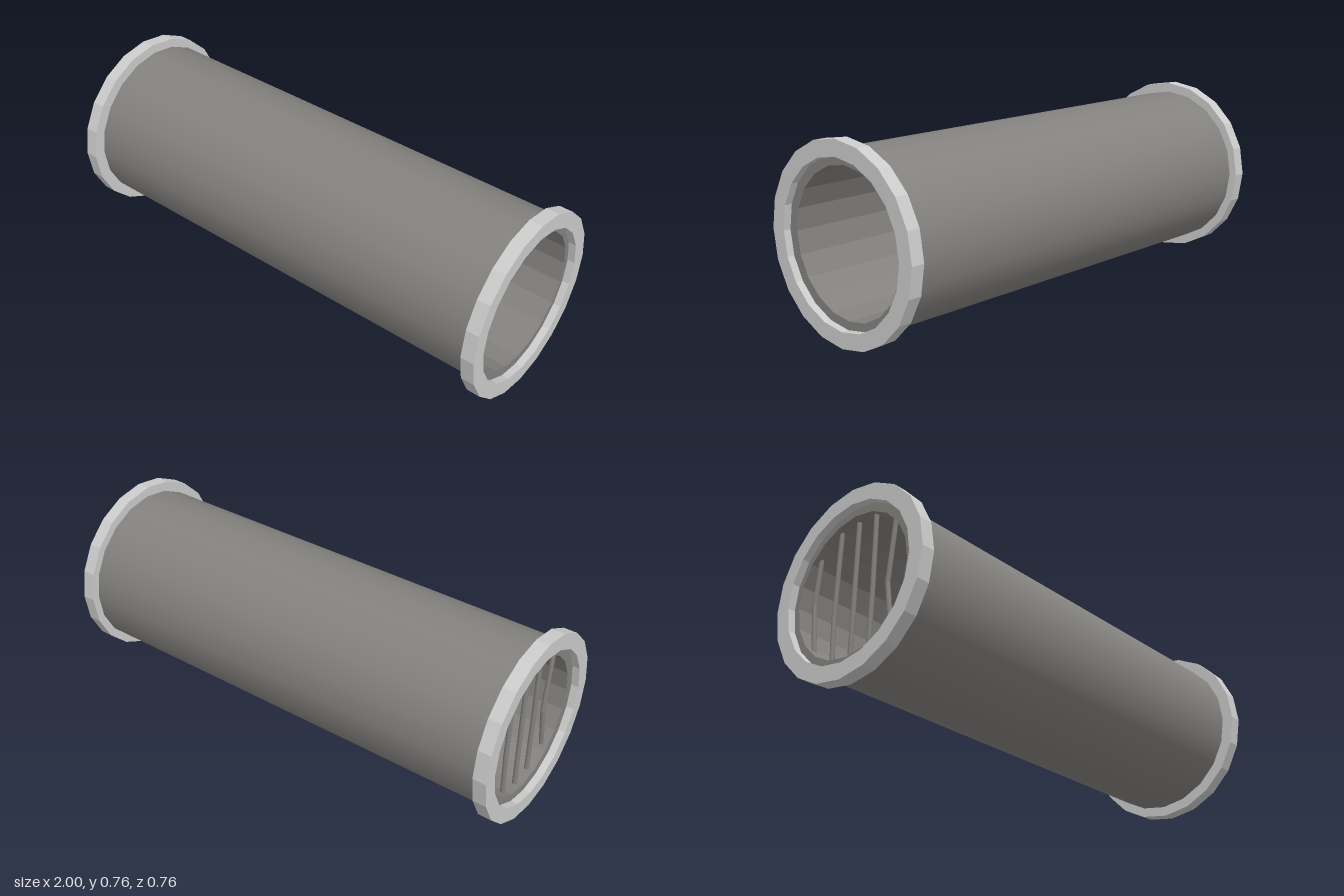
import * as THREE from 'three';

const SIDES = 20;
const CENTRE_Y = 0.382;

// Revolve a [radius, x] profile around the x axis
function ring(profile, material, name) {
  const points = profile.map(([r, x]) => new THREE.Vector2(r, x));
  const geometry = new THREE.LatheGeometry(points, SIDES);
  geometry.rotateZ(-Math.PI / 2);
  const mesh = new THREE.Mesh(geometry, material);
  mesh.name = name;
  return mesh;
}

// Round rod between two points
function rod(a, b, radius, material) {
  const dir = b.clone().sub(a);
  const mesh = new THREE.Mesh(new THREE.CylinderGeometry(radius, radius, dir.length(), 10), material);
  mesh.position.copy(a).add(b).multiplyScalar(0.5);
  mesh.quaternion.setFromUnitVectors(new THREE.Vector3(0, 1, 0), dir.normalize());
  mesh.name = 'barSegment';
  return mesh;
}

export function createModel() {
  const model = new THREE.Group();
  model.name = 'drainPipe';

  const flangeMat = new THREE.MeshStandardMaterial({ color: 0xcccccc, flatShading: true });
  const pipeMat = new THREE.MeshStandardMaterial({ color: 0x84827f });
  const boreMat = new THREE.MeshStandardMaterial({ color: 0x84827f, flatShading: true });

  // Pipe: smooth outside, faceted bore with end faces
  const pipe = new THREE.Group();
  pipe.name = 'pipe';
  pipe.position.set(0, 0.383, -0.008);
  const outer = 0.341, inner = 0.285, end = 0.97;
  pipe.add(ring([[outer, -end], [outer, end]], pipeMat, 'pipeOuterWall'));
  pipe.add(ring([[outer, end], [inner, end], [inner, -end], [outer, -end]], boreMat, 'pipeBore'));
  model.add(pipe);

  // Flange collar at each end
  for (const side of [-1, 1]) {
    const flange = ring(
      [[0.382, -0.0275], [0.382, 0.0275], [0.318, 0.0275], [0.318, -0.0275], [0.382, -0.0275]],
      flangeMat, side > 0 ? 'leftFlange' : 'rightFlange');
    flange.position.set(side * 0.9725, CENTRE_Y, 0);
    model.add(flange);
  }

  // Bent grate bars across one end: [y, z] from top to bottom
  const bars = [
    [[0.62, 0.181], [0.345, 0.152], [0.15, 0.181]],
    [[0.662, 0.072], [0.36, 0.075], [0.1, 0.072]],
    [[0.657, -0.02], [0.38, -0.021], [0.096, -0.021]],
    [[0.655, -0.114], [0.3, -0.124], [0.112, -0.116]],
    [[0.585, -0.221], [0.388, -0.241], [0.18, -0.221]],
  ];
  const grate = new THREE.Group();
  grate.name = 'grate';
  for (const path of bars) {
    const bar = new THREE.Group();
    bar.name = 'grateBar';
    const pts = path.map(([y, z]) => new THREE.Vector3(-0.94, y, z));
    for (let i = 0; i < pts.length - 1; i++) bar.add(rod(pts[i], pts[i + 1], 0.0095, pipeMat));
    // Elbow filling the bend
    const elbow = new THREE.Mesh(new THREE.SphereGeometry(0.0095, 10, 8), pipeMat);
    elbow.name = 'barElbow';
    elbow.position.copy(pts[1]);
    bar.add(elbow);
    grate.add(bar);
  }
  model.add(grate);

  return model;
}
